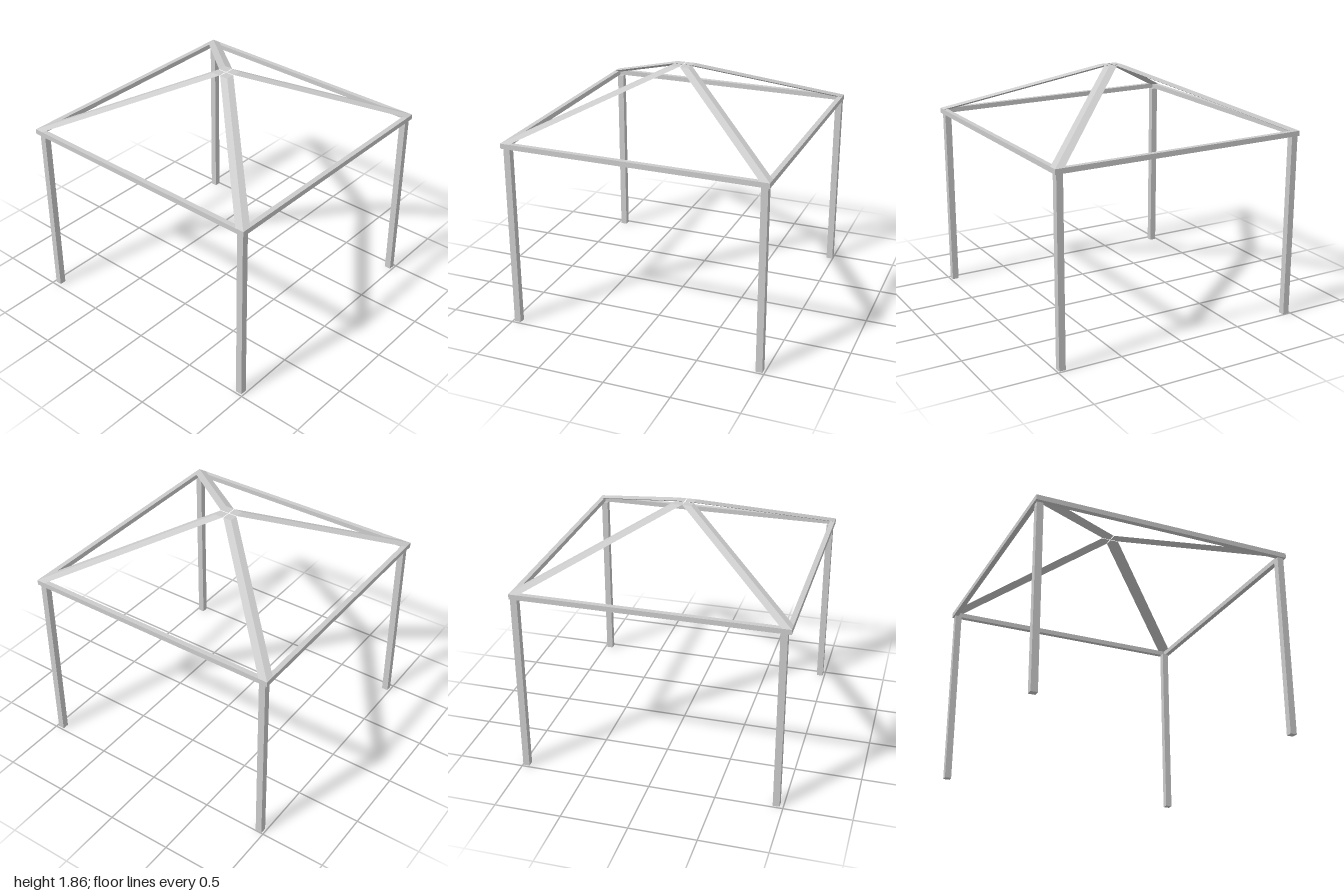
import * as THREE from 'three';

const material = new THREE.MeshStandardMaterial({ color: 0xcccccc, flatShading: true });

function addMesh(parent, geometry, name, x, y, z) {
  const mesh = new THREE.Mesh(geometry, material);
  mesh.name = name;
  mesh.position.set(x, y, z);
  parent.add(mesh);
}

// Hip rafter: an upright box sheared diagonally, so its ends stay level squares
function rafterGeometry(sx, sz, width, rise, run) {
  const geometry = new THREE.BoxGeometry(width, rise, width);
  const p = geometry.attributes.position;
  for (let i = 0; i < p.count; i++) {
    const t = p.getY(i) / rise + 0.5;
    p.setX(i, p.getX(i) - sx * run * t);
    p.setZ(i, p.getZ(i) - sz * run * t);
  }
  geometry.computeVertexNormals();
  return geometry;
}

export function createModel() {
  const group = new THREE.Group();
  group.name = 'pavilionFrame';

  const beamBottom = 1.405, beamTop = 1.443, beamWidth = 0.038;
  const apex = 1.86, rafterWidth = 0.068, post = 0.05;
  const beamHeight = beamTop - beamBottom;
  const beamY = (beamTop + beamBottom) / 2;
  const beamOffset = 1 - beamWidth / 2;

  // Ring of beams under the roof
  for (const [s, side, end] of [[1, 'left', 'front'], [-1, 'right', 'back']]) {
    addMesh(group, new THREE.BoxGeometry(2, beamHeight, beamWidth),
      `${end}Beam`, 0, beamY, s * beamOffset);
    addMesh(group, new THREE.BoxGeometry(beamWidth, beamHeight, 2 - 2 * beamWidth),
      `${side}Beam`, s * beamOffset, beamY, 0);
  }

  // A post and a hip rafter at every corner
  const rise = apex - beamTop;
  for (const sx of [-1, 1]) {
    for (const sz of [-1, 1]) {
      const corner = (sz > 0 ? 'front' : 'back') + (sx > 0 ? 'Left' : 'Right');
      const shift = sx < 0 ? -0.012 : 0; // posts on the right sit slightly further back
      addMesh(group, new THREE.BoxGeometry(post, beamBottom, post),
        `${corner}Post`, sx * 0.96, beamBottom / 2, sz * 0.96 + shift);
      const c = 1 - rafterWidth / 2;
      addMesh(group, rafterGeometry(sx, sz, rafterWidth, rise, 1 - rafterWidth - 0.003),
        `${corner}Rafter`, sx * c, beamTop + rise / 2, sz * c);
    }
  }
  return group;
}
